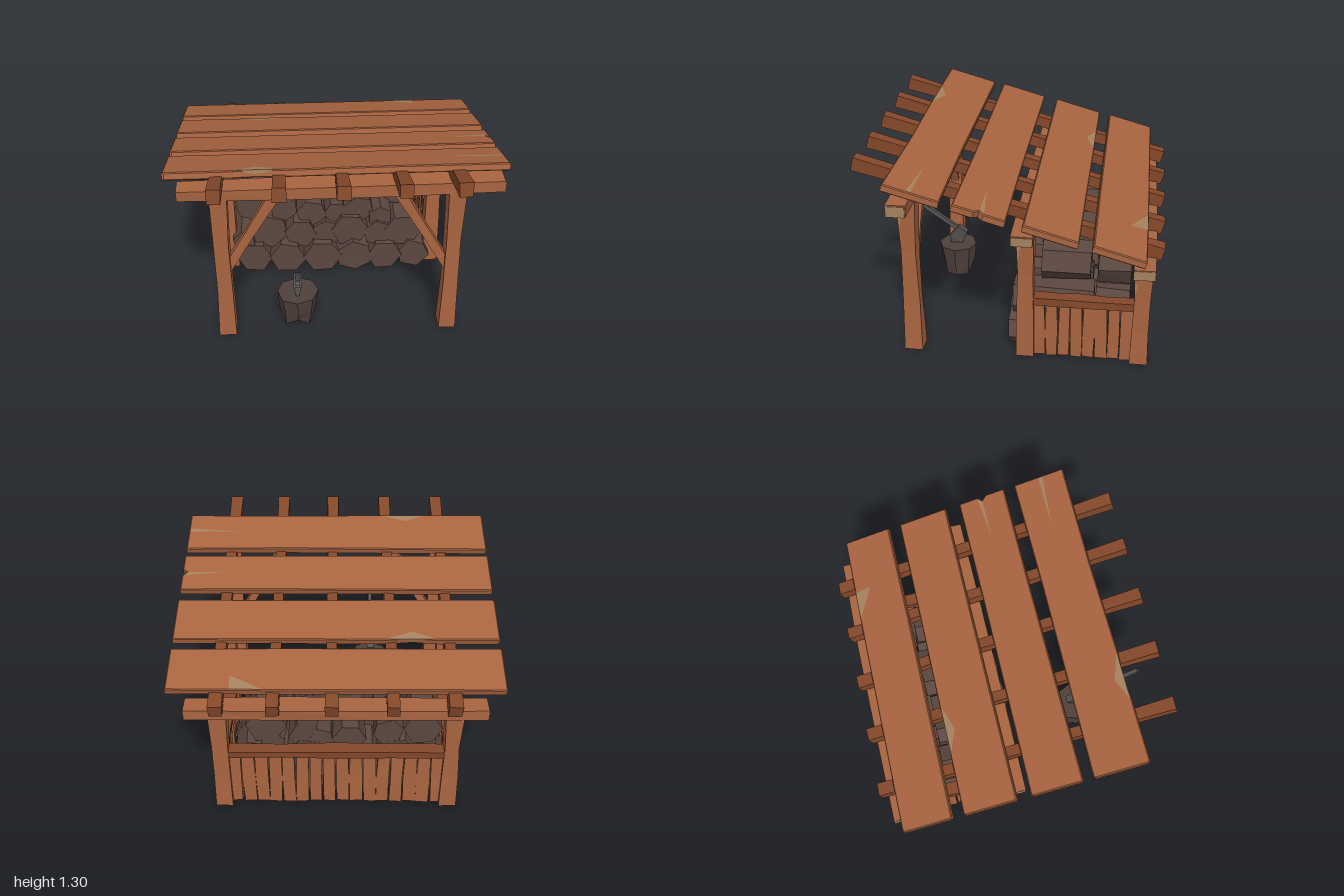
import * as THREE from 'three';

const mat = (color) => new THREE.MeshStandardMaterial({ color, flatShading: true, side: THREE.DoubleSide });
const WOOD = mat(0xa86440), DARK = mat(0x84482a), CUT = mat(0xa5825e), LOG = mat(0x5b4740);
const STUMP = mat(0x4f403b), METAL = mat(0x555352);

// repeatable noise in -1..1
const noise = (n) => {
  const s = Math.sin(n * 127.1 + 3.7) * 43758.5453;
  return (s - Math.floor(s)) * 2 - 1;
};

function add(parent, name, geometry, material, pos = [0, 0, 0]) {
  const mesh = new THREE.Mesh(geometry, material);
  mesh.name = name;
  mesh.position.set(...pos);
  parent.add(mesh);
  return mesh;
}

// nudges every corner by a hash of its place, so that seams stay closed
function rough(geometry, amount, seed) {
  const p = geometry.attributes.position;
  for (let i = 0; i < p.count; i++) {
    const k = Math.round(p.getX(i) * 500) * 1.3 + Math.round(p.getY(i) * 500) * 2.7 + Math.round(p.getZ(i) * 500) * 4.1 + seed;
    p.setXYZ(i, p.getX(i) + noise(k) * amount, p.getY(i) + noise(k + 11) * amount * 0.4, p.getZ(i) + noise(k + 23) * amount);
  }
  geometry.computeVertexNormals();
  return geometry;
}

// hewn timber along its own y; widths gives the section scale from bottom to top
function timber(w, len, d, widths, amount, seed) {
  const n = widths.length - 1;
  const g = new THREE.BoxGeometry(w, len, d, 1, n, 1);
  const p = g.attributes.position;
  for (let i = 0; i < p.count; i++) {
    const s = widths[Math.round((p.getY(i) / len + 0.5) * n)];
    p.setX(i, p.getX(i) * s);
    p.setZ(i, p.getZ(i) * s);
  }
  return rough(g, amount, seed);
}

// bare wood patch where a splinter broke off
function chip(parent, points) {
  const g = new THREE.BufferGeometry().setFromPoints(points.map((p) => new THREE.Vector3(...p)));
  g.computeVertexNormals();
  add(parent, 'splinteredPatch', g, CUT);
}

function buildFrame(root) {
  const frame = new THREE.Group();
  frame.name = 'frame';
  root.add(frame);
  // post rows: z, post height, right and left post x, beam centre x, length, height, depth
  const rows = [
    ['front', 0.6, 1.055, -0.697, 0.714, 0.03, 1.92, 0.08, 0.125],
    ['middle', -0.103, 0.882, -0.7, 0.7, 0, 1.85, 0.066, 0.135],
    ['back', -0.807, 0.695, -0.7, 0.7, 0, 1.79, 0.07, 0.135],
  ];
  rows.forEach(([label, z, h, xr, xl, bx, len, bh, depth], r) => {
    for (const x of [xr, xl]) {
      const out = Math.sign(x) * 0.053;
      add(frame, label + 'Post', timber(0.103, h, 0.108, [1.05, 0.92, 0.88, 1.04], 0.004, r * 7 + x), WOOD, [x, h / 2, z]);
      chip(frame, [[x + out, h - 0.01, z + 0.01], [x + out, h - 0.01, z + 0.05], [x + out * 0.95, h - 0.2, z + 0.045]]);
    }
    const y = h - 0.005 + bh / 2;
    const beam = timber(bh, len, depth, [0.92, 1, 1.02, 0.94], 0.004, r + 40).rotateZ(-Math.PI / 2);
    add(frame, label + 'Beam', beam, WOOD, [bx, y, z]);
    for (const s of [-1, 1]) {
      add(frame, 'beamEnd', new THREE.BoxGeometry(0.008, bh * 0.84, depth * 0.88), CUT, [bx + s * len / 2, y, z]);
    }
  });
  // slanted braces under the front beam
  for (const s of [-1, 1]) {
    const brace = add(frame, 'brace', timber(0.058, 0.68, 0.06, [1, 0.9, 1.1], 0.004, s + 60), WOOD, [s * 0.53, 0.774, 0.6]);
    brace.rotation.z = s * 0.52;
  }
}

function buildRoof(root) {
  const roof = new THREE.Group();
  roof.name = 'roof';
  roof.position.y = 1.018;
  roof.rotation.x = -0.253;
  root.add(roof);
  [-0.695, -0.335, 0.025, 0.37, 0.702].forEach((x, i) => {
    const g = timber(0.07, 1.88, 0.074, [1.14, 0.97, 0.95, 0.95, 1.14], 0.003, i * 5).rotateX(Math.PI / 2);
    add(roof, 'rafter', g, DARK, [x, 0, 0]);
  });
  // planks: back and front edge, then chips in the outline as [x, edge side, depth]
  const planks = [
    [-0.82, -0.51, []], [-0.44, -0.115, [[-0.47, -1, 0.014]]],
    [-0.03, 0.28, []], [0.34, 0.67, [[-0.47, 1, 0.014]]],
  ];
  planks.forEach(([z0, z1, notches], i) => {
    const w = (z1 - z0) / 0.968, zc = ((z0 + z1) / 2 + 0.015) / 0.968;
    const b = 0.006, hx = 1 - b, hz = w / 2 - b;
    const edge = (side) => {
      const pts = [[-hx, hz - 0.006], [-hx + 0.01, hz]];
      for (const [x, s, d] of notches) if (s === side) pts.push([x - 0.14, hz], [x, hz - d], [x + 0.17, hz]);
      pts.push([0.3, hz - 0.003 * i], [hx, hz - 0.004]);
      return pts.map(([x, z]) => new THREE.Vector2(x, z * side));
    };
    const tip = i === 2 ? [new THREE.Vector2(hx, 0.03), new THREE.Vector2(hx - 0.03, 0), new THREE.Vector2(hx, -0.03)] : [];
    const outline = new THREE.Shape([...edge(1), ...tip, ...edge(-1).reverse()]);
    const g = new THREE.ExtrudeGeometry(outline, { depth: 0.035, bevelThickness: b, bevelSize: b, bevelSegments: 1 });
    g.rotateX(Math.PI / 2);
    const plank = add(roof, 'roofPlank', g, WOOD, [0, 0.063, zc]);
    plank.rotation.x = -0.02;
    const y = b + 0.0015, e = hz + b;
    for (const [x, s, d] of notches) {
      chip(plank, [[x - 0.14, y, s * hz], [x, y, s * (hz - d - 0.045)], [x + 0.17, y, s * hz]]);
      chip(plank, [[x - 0.14, y, s * hz], [x, -0.02, s * (e - d + 0.004)], [x + 0.17, y, s * hz]]);
    }
    if (i === 0) chip(plank, [[0.43, y, -hz], [0.62, y, -hz], [0.63, y, -0.05]]);
    if (i === 2) chip(plank, [[0.99, y, -0.03], [0.71, y, 0], [0.96, y, 0.0]]);
    if (i === 3) chip(plank, [[0.99, y, 0], [0.65, y, 0], [0.99, y, 0.028]]);
  });
}

function buildWalls(root) {
  const walls = new THREE.Group();
  walls.name = 'lowWalls';
  root.add(walls);
  // a run of upright boards with a rail on top, along its own x
  const wall = (name, len, count, seed) => {
    const g = new THREE.Group();
    g.name = name;
    const step = len / count;
    for (let i = 0; i < count; i++) {
      const board = add(g, 'wallBoard', timber(step * 0.93, 0.38, 0.035, [0.98, 1.02, 0.95], 0.004, seed + i * 3), WOOD,
        [(i + 0.5) * step - len / 2, 0.192, noise(seed + i) * 0.006]);
      board.rotation.z = noise(seed + i * 9) * 0.02;
    }
    add(g, 'wallRail', timber(0.05, len + 0.02, 0.085, [1, 0.9, 1.05, 0.95, 1], 0.004, seed).rotateZ(Math.PI / 2), DARK, [0, 0.4, 0]);
    walls.add(g);
    return g;
  };
  wall('backWall', 1.33, 16, 5).position.z = -0.807;
  for (const s of [-1, 1]) {
    const side = wall('sideWall', 0.61, 8, 30 + s);
    side.position.set(s * 0.7, 0, -0.456);
    side.rotation.y = s * Math.PI / 2;
  }
}

function buildLogs(root) {
  const stack = new THREE.Group();
  stack.name = 'logPile';
  root.add(stack);
  // x, y, radius, turn of each log end
  const logs = [
    [-0.53, 0.11, 0.125, 0.5], [-0.3, 0.105, 0.125, 0.4], [-0.06, 0.11, 0.13, 0.5], [0.16, 0.11, 0.125, 0.1],
    [0.37, 0.105, 0.12, 0.5], [0.57, 0.11, 0.115, 0.3], [-0.43, 0.31, 0.135, 0.2], [-0.21, 0.29, 0.115, 0.4],
    [-0.03, 0.28, 0.11, 0], [0.13, 0.31, 0.13, 0.5], [0.33, 0.27, 0.11, 0.1], [0.5, 0.295, 0.13, 0.45],
    [-0.6, 0.25, 0.08, 0.2], [-0.53, 0.515, 0.125, 0.3], [-0.32, 0.485, 0.1, 0.1], [-0.13, 0.43, 0.105, 0.4],
    [0.04, 0.425, 0.085, 0.5], [0.19, 0.46, 0.105, 0.2], [0.34, 0.4, 0.085, 0], [0.02, 0.605, 0.12, 0.5],
    [0.17, 0.565, 0.07, 0.1], [0.43, 0.535, 0.13, 0.35],
  ];
  const log = (x, y, r, turn, zFront, zBack, seed) => {
    const g = new THREE.CylinderGeometry(r, r * 0.96, zFront - zBack, 6, 1).rotateY(turn);
    rough(g, 0.007, seed).rotateX(Math.PI / 2);
    add(stack, 'log', g, LOG, [x, Math.max(y, r * 0.93), (zFront + zBack) / 2]);
  };
  logs.forEach(([x, y, r, turn], i) => {
    // the lowest logs are short, those above reach further back
    const front = (y > 0.53 ? -0.17 : 0.045 - y * 0.2) + noise(i) * 0.012;
    const split = y < 0.2 ? -0.3 : -0.5;
    log(x, y, r, turn, front, split + noise(i + 4) * 0.02, i);
    // the second row is lower, and open at one foot
    const open = y > 0.6 || (y < 0.12 && x > 0.3);
    const shift = y < 0.45 && Math.abs(x) < 0.5 ? 0.05 : 0;
    if (!open) log(x + shift, y, r, turn + 0.2, split - 0.03 + noise(i + 8) * 0.01, -0.735, i + 50);
  });
}

function buildChoppingBlock(root) {
  const block = new THREE.Group();
  block.name = 'choppingBlock';
  block.position.set(-0.245, 0, 0.505);
  root.add(block);
  // stump with splits at its foot
  const g = new THREE.CylinderGeometry(0.132, 0.104, 0.222, 8, 2);
  const p = g.attributes.position;
  for (let i = 0; i < p.count; i++) {
    const turn = Math.round(Math.atan2(p.getZ(i), p.getX(i)) / (Math.PI / 4));
    const r = Math.hypot(p.getX(i), p.getZ(i));
    if (p.getY(i) < -0.1 && (r < 0.01 || Math.abs(turn) === 2)) p.setY(i, -0.055);
  }
  add(block, 'stump', rough(g, 0.006, 3), STUMP, [0, 0.1125, 0]);

  // axe: handle rising to the front, wedge head biting into the stump
  const handle = add(block, 'axeHandle', new THREE.BoxGeometry(0.026, 0.53, 0.03), METAL, [0, 0.468, 0.185]);
  handle.rotation.x = Math.atan2(0.41, 0.29);
  const profile = new THREE.Shape([[-0.07, 0.315], [-0.01, 0.36], [0.05, 0.29], [0.055, 0.2], [-0.025, 0.205]].map((c) => new THREE.Vector2(...c)));
  const head = new THREE.ExtrudeGeometry(profile, { depth: 0.05, bevelEnabled: false }).translate(0, 0, -0.025);
  const q = head.attributes.position;
  for (let i = 0; i < q.count; i++) if (q.getY(i) < 0.25) q.setZ(i, q.getZ(i) * 0.15);
  head.rotateY(-Math.PI / 2).computeVertexNormals();
  add(block, 'axeHead', head, METAL);
}

export function createModel() {
  const root = new THREE.Group();
  root.name = 'woodShelter';
  buildFrame(root);
  buildRoof(root);
  buildWalls(root);
  buildLogs(root);
  buildChoppingBlock(root);
  return root;
}
